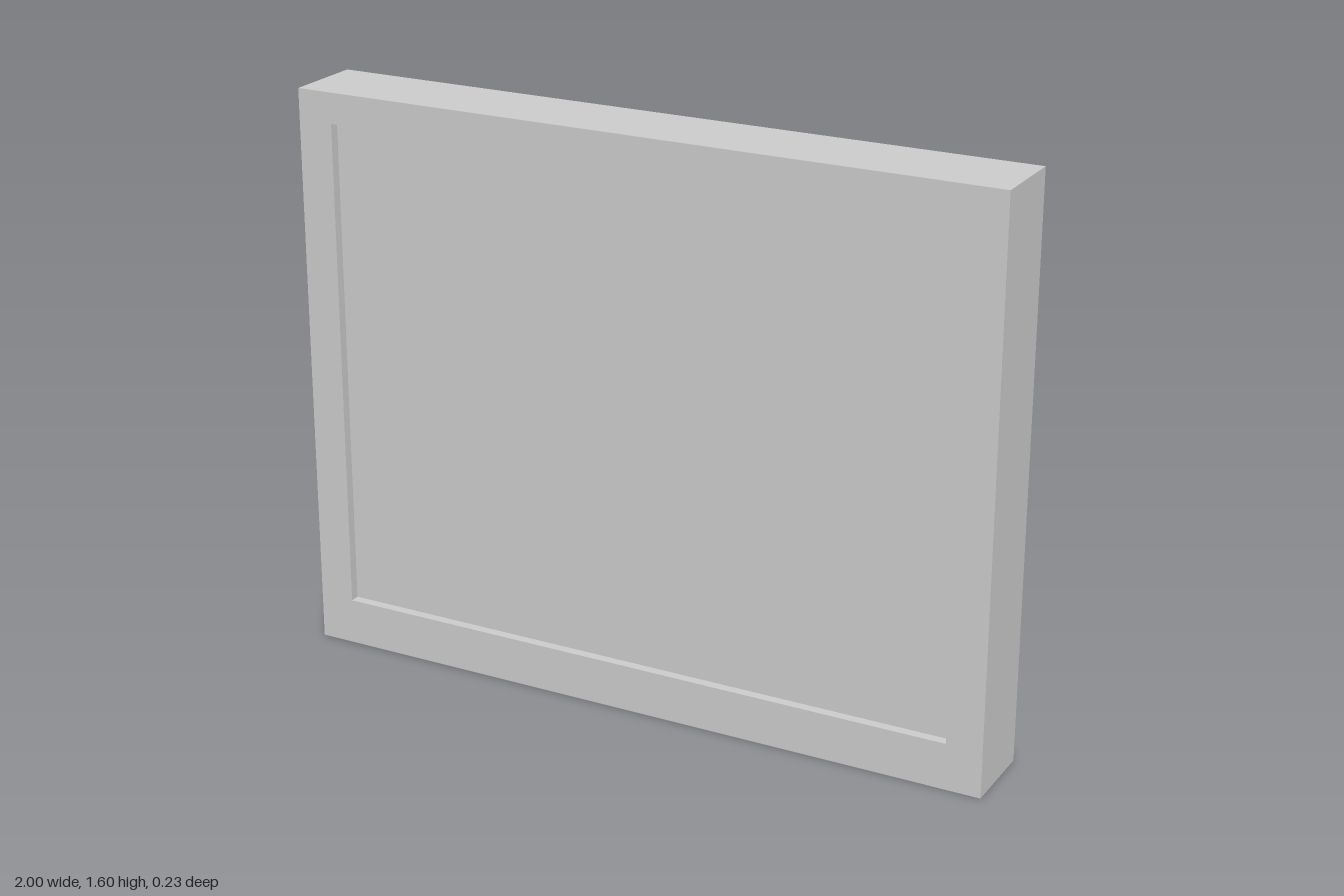
import * as THREE from 'three';

const W = 2, H = 1.595, D = 0.228;          // outer shell
const IX = 0.9, Y0 = 0.13, Y1 = 1.51;       // screen opening
const F = D / 2;

export function createModel() {
  const group = new THREE.Group();
  const mat = new THREE.MeshStandardMaterial({ color: 0xcccccc, side: THREE.DoubleSide });

  const add = (name, geometry, x = 0, y = 0, z = 0) => {
    const mesh = new THREE.Mesh(geometry, mat);
    mesh.name = name;
    mesh.position.set(x, y, z);
    group.add(mesh);
  };
  // thin upright wall facing sideways (dir = 1 faces +x)
  const sideWall = (name, x, y0, y1, dir) =>
    add(name, new THREE.PlaneGeometry(D, y1 - y0).rotateY(dir * Math.PI / 2), x, (y0 + y1) / 2);
  // thin level wall (dir = 1 faces up)
  const levelWall = (name, y, width, dir) =>
    add(name, new THREE.PlaneGeometry(width, D).rotateX(-dir * Math.PI / 2), 0, y);

  // front frame face with the rectangular opening
  const face = new THREE.Shape([
    new THREE.Vector2(-W / 2, 0), new THREE.Vector2(W / 2, 0),
    new THREE.Vector2(W / 2, H), new THREE.Vector2(-W / 2, H),
  ]);
  face.holes.push(new THREE.Path([
    new THREE.Vector2(-IX, Y0), new THREE.Vector2(-IX, Y1),
    new THREE.Vector2(IX, Y1), new THREE.Vector2(IX, Y0),
  ]));
  add('frontFrame', new THREE.ShapeGeometry(face), 0, 0, F);

  // outer shell: top and sides, open at the back and the bottom
  levelWall('outerTop', H, W, 1);
  for (const s of [1, -1]) {
    const side = s > 0 ? 'Left' : 'Right';
    sideWall('outer' + side, s * W / 2, 0, H, s);
    sideWall('inner' + side, s * IX, Y0, Y1, -s);
  }

  // inner sleeve around the opening, running the full depth
  levelWall('innerTop', Y1, IX * 2, -1);
  levelWall('innerBottom', Y0, IX * 2, 1);

  // slightly recessed panel
  add('panel', new THREE.BoxGeometry(IX * 2, Y1 - Y0, 0.03), 0, (Y0 + Y1) / 2, 0.072);

  return group;
}
